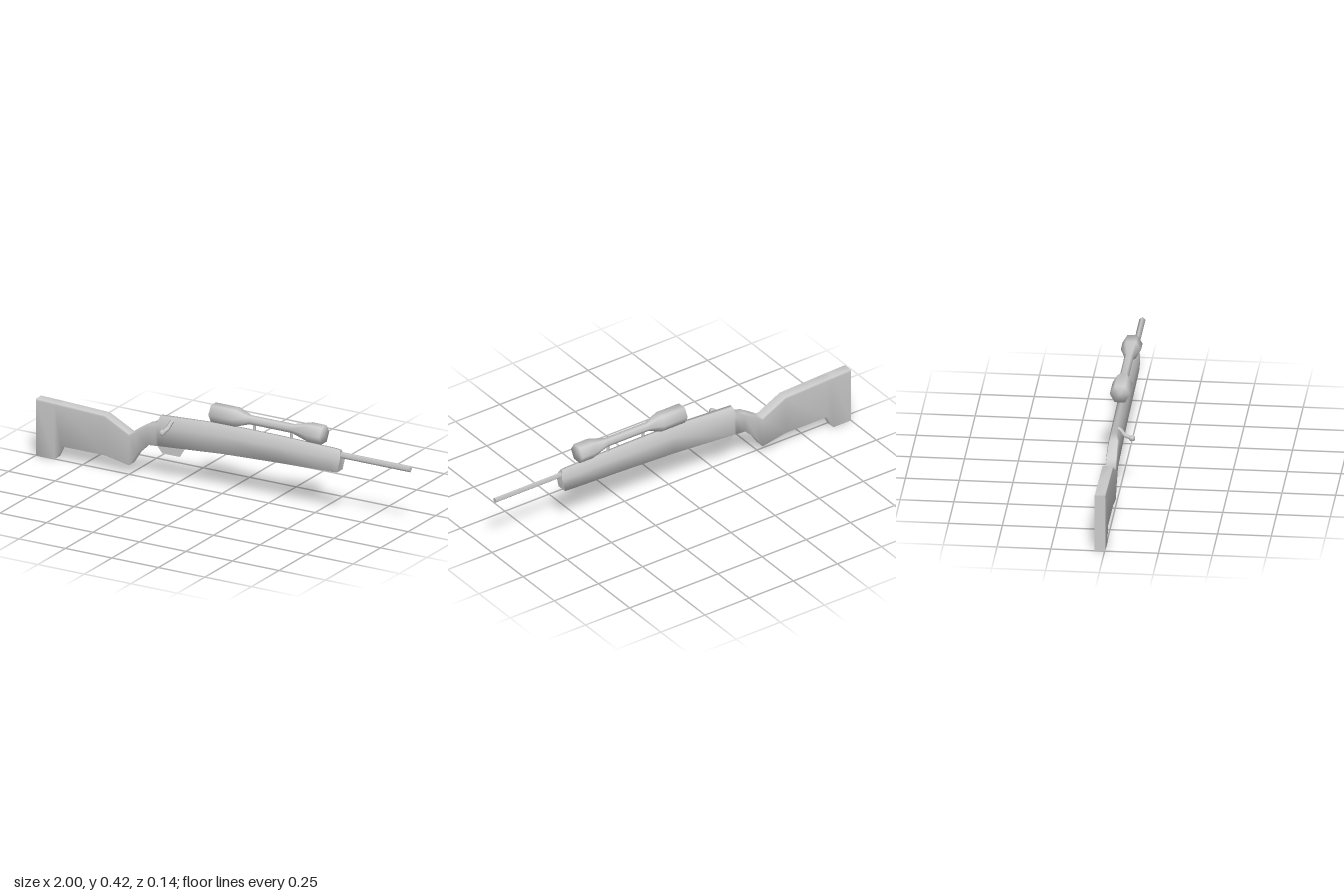
import * as THREE from 'three';

const ZC = -0.022; // the long parts share this centre plane
const grey = () => new THREE.MeshStandardMaterial({ color: 0xcccccc });

function add(group, name, geometry, material = grey()) {
  const mesh = new THREE.Mesh(geometry, material);
  mesh.name = name;
  group.add(mesh);
  return mesh;
}

// Skin six-point sections along +x, with flat caps at both ends
function loft(rings) {
  const n = rings[0].length, pos = rings.flat(2), index = [];
  for (let i = 0; i < rings.length - 1; i++) {
    for (let j = 0; j < n; j++) {
      const k = (j + 1) % n, a = i * n + j, b = i * n + k;
      index.push(a, b, b + n, a, b + n, a + n);
    }
  }
  [rings[0], rings[rings.length - 1]].forEach((ring, end) => {
    const base = pos.length / 3;
    pos.push(...ring.flat());
    for (let j = 1; j < n - 1; j++) {
      index.push(base, base + (end ? j : j + 1), base + (end ? j + 1 : j));
    }
  });
  const g = new THREE.BufferGeometry();
  g.setAttribute('position', new THREE.Float32BufferAttribute(pos, 3));
  g.setIndex(index);
  g.computeVertexNormals();
  return g;
}

// Section: straight sides up to the shoulder, then sloping to a narrower top
function section([x, bottom, shoulder, top, ridge, xShoulder = x, xTop = x]) {
  const w = 0.025;
  return [
    [x, bottom, ZC - w], [xShoulder, shoulder, ZC - w], [xTop, top, ZC - ridge],
    [xTop, top, ZC + ridge], [xShoulder, shoulder, ZC + w], [x, bottom, ZC + w],
  ];
}

export function createModel() {
  const group = new THREE.Group();
  group.name = 'scopedRifle';

  // Stock, grip, receiver and fore-end: x, bottom, shoulder, top, half width of top
  const stations = [
    [-1, 0, 0.27, 0.28, 0.024],
    [-0.9, 0, 0.267, 0.277, 0.024],
    [-0.865, 0.07, 0.266, 0.276, 0.024],
    [-0.63, 0.07, 0.257, 0.267, 0.024],
    [-0.5, 0.045, 0.19, 0.2, 0.024],
    [-0.46, 0.107, 0.217, 0.228, 0.023],
    [-0.4, 0.165, 0.25, 0.266, 0.02],
    [-0.355, 0.168, 0.262, 0.278, 0.018],
    [-0.34, 0.17, 0.266, 0.315, 0.01],
    [0, 0.196, 0.282, 0.335, 0.006],
    [0.3, 0.209, 0.286, 0.334, 0.006],
    [0.59, 0.219, 0.287, 0.328, 0.006],
    [0.62, 0.221, 0.287, 0.325, 0.006, 0.635, 0.625],
  ];
  add(group, 'stockAndReceiver', loft(stations.map(section)));

  // Four-sided barrel
  const barrel = new THREE.CylinderGeometry(0.0145, 0.0145, 0.45, 4);
  barrel.rotateZ(-Math.PI / 2).translate(0.775, 0.3, ZC);
  add(group, 'barrel', barrel);

  // Six-sided scope
  const profile = [
    [0, -0.06], [0.047, -0.06], [0.047, 0.07], [0.022, 0.14],
    [0.022, 0.37], [0.047, 0.46], [0.047, 0.535], [0, 0.535],
  ].map(([r, x]) => new THREE.Vector2(r, x));
  const scope = new THREE.LatheGeometry(profile, 6);
  scope.rotateZ(-Math.PI / 2).translate(0, 0.383, ZC);
  add(group, 'scope', scope);

  // Scope mounts
  for (const x of [0.16, 0.36]) {
    const mount = new THREE.CylinderGeometry(0.007, 0.007, 0.05, 6);
    add(group, 'scopeMount', mount.translate(x, 0.348, ZC));
  }

  // Bolt handle bending out and down to a knob
  const bolt = new THREE.Group();
  bolt.name = 'bolt';
  group.add(bolt);
  const path = [
    [-0.27, 0.301, -0.02], [-0.273, 0.3, 0], [-0.28, 0.274, 0.022], [-0.286, 0.265, 0.05],
  ].map((p) => new THREE.Vector3(...p));
  const curve = new THREE.CurvePath();
  for (let i = 0; i < 3; i++) curve.add(new THREE.LineCurve3(path[i], path[i + 1]));
  add(bolt, 'boltHandle', new THREE.TubeGeometry(curve, 9, 0.0105, 6));
  const knobProfile = [[0, -0.014], [0.01, -0.014], [0.015, -0.006], [0.015, 0.006], [0.01, 0.013], [0, 0.013]];
  const knob = new THREE.LatheGeometry(knobProfile.map((p) => new THREE.Vector2(...p)), 6);
  knob.rotateX(Math.PI / 2).translate(-0.288, 0.264, 0.057);
  add(bolt, 'boltKnob', knob);

  // Thin trigger guard plate
  const guard = new THREE.Shape([
    [-0.375, 0.175], [-0.335, 0.127], [-0.24, 0.127], [-0.205, 0.185],
  ].map((p) => new THREE.Vector2(...p)));
  const thin = grey();
  thin.side = THREE.DoubleSide;
  add(group, 'triggerGuard', new THREE.ShapeGeometry(guard).translate(0, 0, ZC), thin);

  return group;
}
